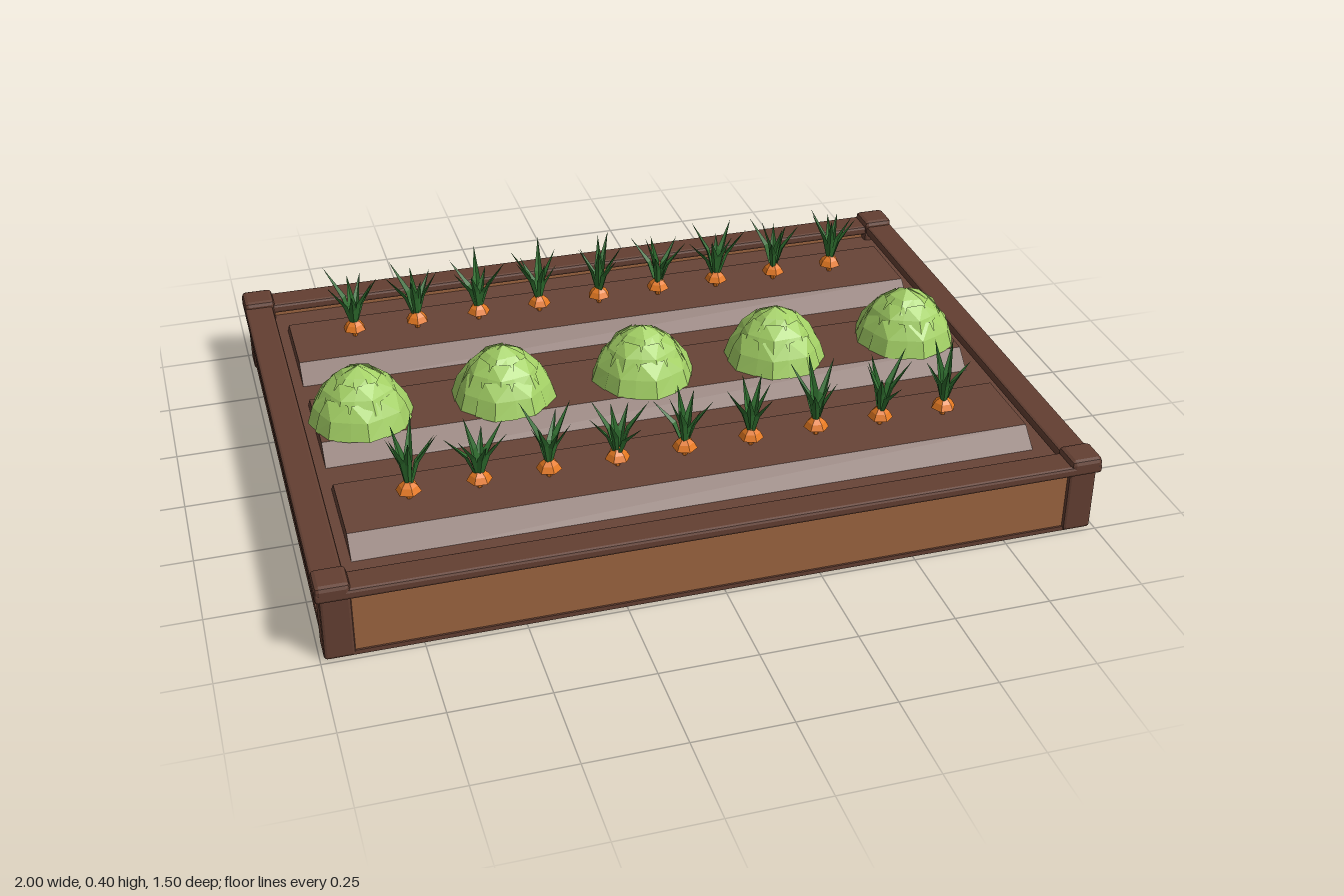
import * as THREE from 'three';
import { RoundedBoxGeometry } from 'three/addons/geometries/RoundedBoxGeometry.js';

const mat = (name, color, opts = {}) => {
  const m = new THREE.MeshStandardMaterial({ color, flatShading: true, ...opts });
  m.name = name;
  return m;
};

// small seeded generator for plant variation
function seeded(seed) {
  let s = seed;
  return () => (s = (s * 16807) % 2147483647) / 2147483647;
}

function surface(points, faces) {
  const g = new THREE.BufferGeometry();
  g.setAttribute('position', new THREE.Float32BufferAttribute(points.flat(), 3));
  g.setIndex(faces.flat());
  const flat = g.toNonIndexed();
  flat.computeVertexNormals();
  return flat;
}

export function createModel() {
  const model = new THREE.Group();
  model.name = 'vegetableBed';
  const frameWood = mat('dark frame wood', 0x633f32);
  const panelWood = mat('warm panel wood', 0x9c6440);
  const soil = mat('soil', 0x684437);
  const cabbageGreen = mat('cabbage green', 0xa3d065, { side: THREE.DoubleSide });
  const leafGreen = mat('carrot leaf green', 0x2f6f2f, { side: THREE.DoubleSide });
  const orange = mat('carrot orange', 0xe67a22);

  const add = (parent, name, geo, material, x = 0, y = 0, z = 0) => {
    const mesh = new THREE.Mesh(geo, material);
    mesh.name = name;
    mesh.position.set(x, y, z);
    parent.add(mesh);
    return mesh;
  };
  const box = (name, material, w, h, d, x, y, z) =>
    add(model, name, new THREE.BoxGeometry(w, h, d), material, x, y, z);
  const rounded = (name, w, h, d, r, x, y, z) =>
    add(model, name, new RoundedBoxGeometry(w, h, d, 1, r), frameWood, x, y, z);

  // planks, rim and sills on opposite sides
  for (const s of [-1, 1]) {
    box('longPanel', panelWood, 1.9, 0.165, 0.04, 0, 0.0925, s * 0.71);
    box('sidePanel', panelWood, 0.04, 0.145, 1.4, s * 0.96, 0.1025, 0);
    rounded('longRim', 2, 0.028, 0.08, 0.008, 0, 0.185, s * 0.71);
    rounded('sideRim', 0.08, 0.028, 1.5, 0.008, s * 0.96, 0.185, 0);
    box('longSill', frameWood, 1.96, 0.012, 0.05, 0, 0.006, s * 0.71);
    box('sideSill', frameWood, 0.05, 0.03, 1.46, s * 0.96, 0.015, 0);
    // corner posts with bevelled caps
    for (const t of [-1, 1]) {
      rounded('cornerPost', 0.076, 0.18, 0.076, 0.008, s * 0.952, 0.09, t * 0.702);
      rounded('postCap', 0.086, 0.045, 0.086, 0.012, s * 0.957, 0.193, t * 0.707);
    }
  }
  box('soilFloor', soil, 1.9, 0.145, 1.4, 0, 0.0825, 0);

  // three raised planting rows
  const rowZ = [-0.425, -0.003, 0.418];
  const profile = new THREE.Shape();
  profile.moveTo(-0.167, 0.15);
  profile.lineTo(0.167, 0.15);
  profile.lineTo(0.11, 0.202);
  profile.lineTo(-0.11, 0.202);
  profile.closePath();
  for (const z of rowZ) {
    const g = new THREE.ExtrudeGeometry(profile, { depth: 1.78, bevelEnabled: false });
    g.translate(0, 0, -0.89);
    g.rotateY(-Math.PI / 2);
    add(model, 'soilRow', g, soil, 0, 0, z);
  }

  // cabbage: faceted heart with overlapping tiers of folded leaves
  const tiers = [
    { n: 8, r0: 0.143, y0: 0.0, r1: 0.098, y1: 0.088 },
    { n: 7, r0: 0.114, y0: 0.058, r1: 0.062, y1: 0.124 },
    { n: 5, r0: 0.078, y0: 0.105, r1: 0.0, y1: 0.154 },
  ];
  function cabbageLeaf(t) {
    const half = (Math.PI / t.n) * 1.1;
    const at = (r, a, y) => [r * Math.cos(a), y, r * Math.sin(a)];
    const mid = (t.r0 + t.r1) / 2 + 0.007;
    const my = (t.y0 + t.y1) / 2 + 0.004;
    const p = [
      at(t.r0 * 0.95, -half, t.y0), at(t.r0, 0, t.y0), at(t.r0 * 0.95, half, t.y0),
      at(mid - 0.008, -half, my), at(mid, 0, my), at(mid - 0.008, half, my),
      at(t.r1, -half * 0.8, t.y1), at(t.r1, half * 0.8, t.y1),
    ];
    return surface(p, [[0, 3, 1], [3, 4, 1], [1, 4, 2], [4, 5, 2],
      [3, 6, 4], [4, 6, 7], [4, 7, 5]]);
  }
  const leafGeos = tiers.map(cabbageLeaf);
  const heart = new THREE.LatheGeometry([[0.134, 0], [0.093, 0.083], [0.053, 0.118], [0, 0.145]]
    .map(([x, y]) => new THREE.Vector2(x, y)), 8);
  [-0.77, -0.385, 0, 0.38, 0.765].forEach((x, k) => {
    const cabbage = new THREE.Group();
    cabbage.name = 'cabbage';
    cabbage.position.set(x, 0.2, 0);
    cabbage.rotation.y = k * 0.4;
    add(cabbage, 'cabbageHeart', heart, cabbageGreen);
    tiers.forEach((t, j) => {
      for (let i = 0; i < t.n; i++) {
        const leaf = add(cabbage, 'cabbageLeaf', leafGeos[j], cabbageGreen);
        leaf.rotation.y = ((i + j * 0.5) / t.n) * Math.PI * 2;
        leaf.scale.setScalar(i % 2 ? 1.0 : 0.98);
      }
    });
    model.add(cabbage);
  });

  // carrot: orange crown with a fan of pointed, folded blades
  const crown = new THREE.LatheGeometry([[0.006, 0], [0.012, 0.023], [0.033, 0.024], [0.024, 0.04], [0.008, 0.054], [0, 0.054]]
    .map(([x, y]) => new THREE.Vector2(x, y)), 6);
  const blade = surface([
    [0.004, 0, -0.006], [0.008, 0, 0], [0.004, 0, 0.006],
    [0.026, 0.08, -0.011], [0.033, 0.074, 0], [0.026, 0.08, 0.011], [0.085, 0.155, 0],
  ], [[0, 3, 1], [1, 3, 4], [1, 4, 2], [2, 4, 5], [3, 6, 4], [4, 6, 5]]);
  const rand = seeded(71);
  for (const z of [rowZ[0], rowZ[2]]) {
    for (let i = 0; i < 9; i++) {
      const carrot = new THREE.Group();
      carrot.name = 'carrot';
      carrot.position.set(-0.718 + i * 0.1775, 0.2, z);
      const turn = rand() * Math.PI * 2;
      add(carrot, 'carrotCrown', crown, orange).rotation.y = turn;
      for (let j = 0; j < 7; j++) {
        const leaf = add(carrot, 'carrotLeaf', blade, leafGreen, 0, 0.03, 0);
        leaf.rotation.y = turn + (j / 7) * Math.PI * 2 + (rand() - 0.5) * 0.5;
        const spread = 0.5 + rand() * 0.55;
        leaf.scale.set(spread, 0.75 + rand() * 0.37, 1);
      }
      model.add(carrot);
    }
  }
  return model;
}
